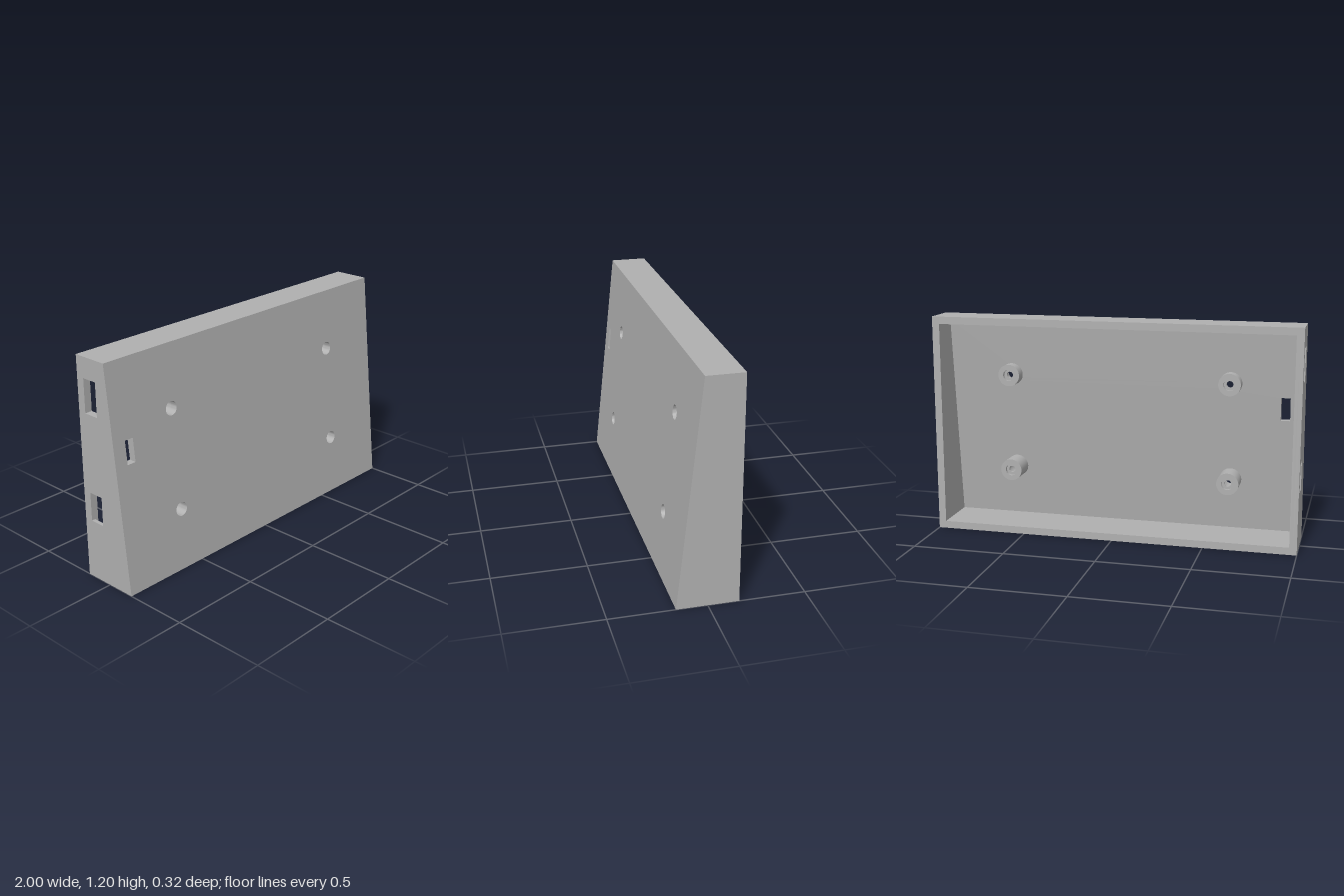
import * as THREE from 'three';
import { toCreasedNormals } from 'three/addons/utils/BufferGeometryUtils.js';

const H = 1.195, BACK = -0.16, T = 0.04;
// slanted front face, and the inner face behind it
const outer = (y) => 0.16 - 0.125 * (y / H);
const inner = (y) => outer(y) - T;

const polygon = (Type, pts) => new Type(pts.map(([a, b]) => new THREE.Vector2(a, b)));
const rect = (a0, a1, b0, b1) => polygon(THREE.Path, [[a0, b0], [a0, b1], [a1, b1], [a1, b0]]);

export function createModel() {
  const group = new THREE.Group();
  const grey = new THREE.MeshStandardMaterial({ color: 0xb0b0b0 });
  grey.name = 'grey plastic';

  function add(name, geometry) {
    const mesh = new THREE.Mesh(toCreasedNormals(geometry, 0.6), grey);
    mesh.name = name;
    group.add(mesh);
    return mesh;
  }

  // wall with a side profile from the open back to the slanted front plate
  function wall(name, x0, x1, y0, y1, holes = []) {
    const shape = polygon(THREE.Shape, [[BACK, y0], [inner(y0), y0], [inner(y1), y1], [BACK, y1]]);
    shape.holes.push(...holes);
    const geometry = new THREE.ExtrudeGeometry(shape, { depth: x1 - x0, bevelEnabled: false });
    geometry.rotateY(-Math.PI / 2).translate(x1, 0, 0);
    add(name, geometry);
  }

  wall('topWall', -1 + T, 1 - T, H - T, H);
  wall('bottomWall', -1 + T, 1 - T, 0, T);
  wall('leftWall', 1 - T, 1, 0, H);

  // right wall in two layers: through slots, with a wider recess inside the lower one
  const z0 = -0.115, z1 = -0.03;
  const upperSlot = () => rect(z0, z1, 0.905, 1.085);
  wall('rightWallOuter', -1, -0.98, 0, H, [upperSlot(), rect(z0, z1, 0.325, 0.48)]);
  wall('rightWallInner', -0.98, -1 + T, 0, H, [upperSlot(), rect(z0, z1, 0.21, 0.59)]);

  // front plate with screw holes and a small window, sheared to the slope
  const screws = [[-0.61, 0.865], [0.613, 0.865], [-0.61, 0.325], [0.61, 0.328]];
  const plate = polygon(THREE.Shape, [[-1, 0], [1, 0], [1, H], [-1, H]]);
  plate.holes.push(rect(-0.925, -0.875, 0.67, 0.795));
  for (const [x, y] of screws) {
    plate.holes.push(new THREE.Path().absarc(x, y, 0.037, 0, Math.PI * 2, true));
  }
  const plateGeometry = new THREE.ExtrudeGeometry(plate, { depth: T, bevelEnabled: false, curveSegments: 16 });
  const pp = plateGeometry.attributes.position;
  for (let i = 0; i < pp.count; i++) pp.setZ(i, inner(pp.getY(i)) + pp.getZ(i));
  add('frontPlate', plateGeometry);

  // hollow screw posts, counterbored at both ends, with the front end cut to the slope
  const FRONT = 1;
  const profile = [
    [0.037, FRONT], [0.037, 0], [0.018, 0], [0.018, -0.015],
    [0.032, -0.015], [0.032, -0.034], [0.06, -0.034], [0.06, FRONT],
  ].map(([r, z]) => new THREE.Vector2(r, z));
  for (const [x, y] of screws) {
    const geometry = new THREE.LatheGeometry(profile, 32);
    geometry.rotateX(Math.PI / 2).translate(x, y, 0);
    const p = geometry.attributes.position;
    for (let i = 0; i < p.count; i++) {
      if (p.getZ(i) > 0.5) p.setZ(i, inner(p.getY(i)));
    }
    add('screwPost', geometry);
  }

  return group;
}
